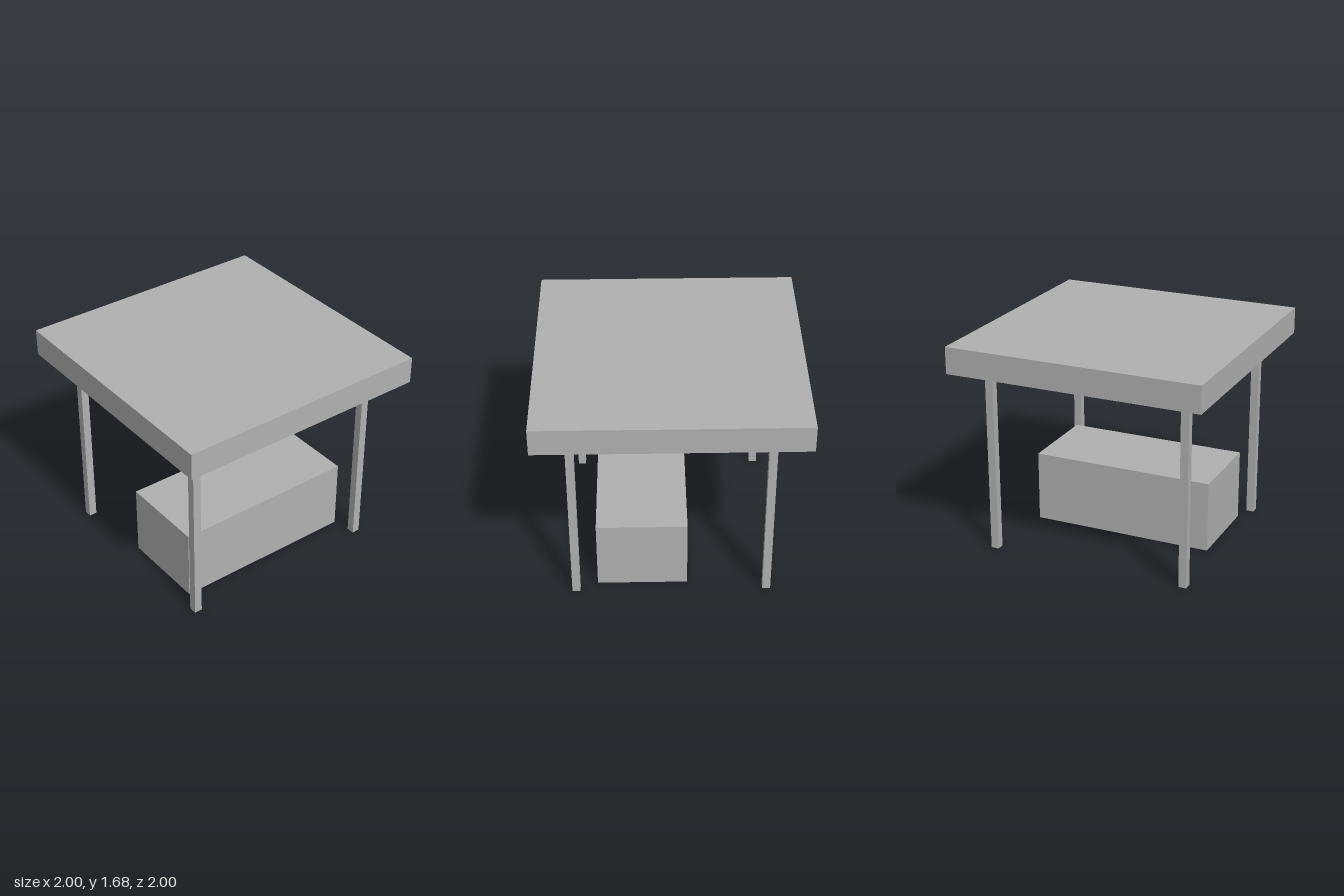
import * as THREE from 'three';

export function createModel() {
  const model = new THREE.Group();
  model.name = 'shelter';
  const grey = new THREE.MeshStandardMaterial({ color: 0xb2b2b2 });
  grey.name = 'plain grey';

  // Box resting with its underside at the given height
  const addBox = (name, [w, h, d], [x, bottom, z]) => {
    const mesh = new THREE.Mesh(new THREE.BoxGeometry(w, h, d), grey);
    mesh.name = name;
    mesh.position.set(x, bottom + h / 2, z);
    model.add(mesh);
  };

  // Thick flat roof
  addBox('roof', [2, 0.208, 2], [0, 1.477, 0]);

  // Four square posts
  for (const [side, x] of [['Left', 0.786], ['Right', -0.786]]) {
    for (const [end, z] of [['front', 0.73], ['back', -0.73]]) {
      addBox(`${end}${side}Post`, [0.062, 1.477, 0.062], [x, 0, z]);
    }
  }

  // Solid block under the roof, set towards the front
  addBox('counter', [1.46, 0.562, 0.69], [0, 0, 0.222]);

  return model;
}
